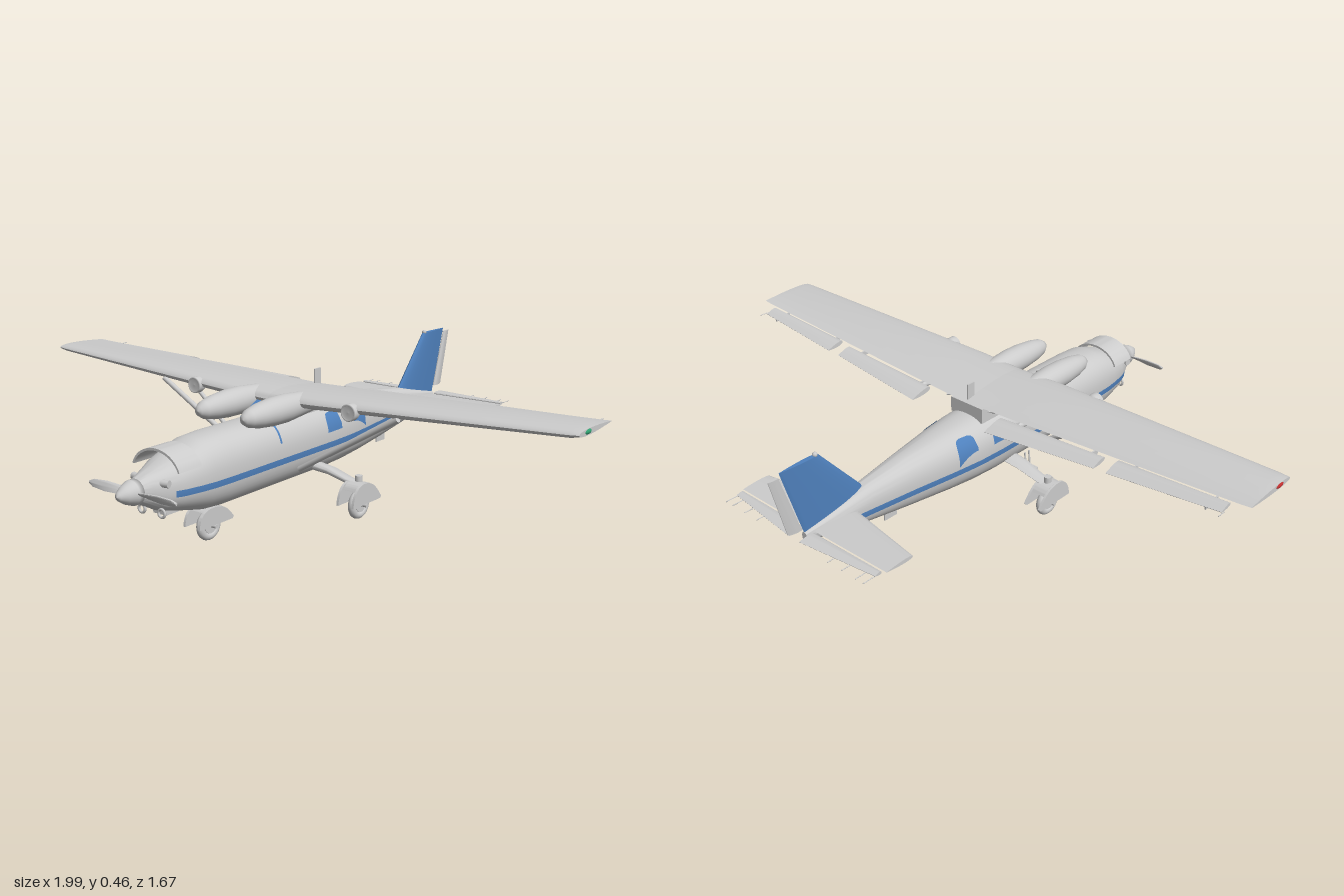
import * as THREE from 'three';
import { toCreasedNormals } from 'three/addons/utils/BufferGeometryUtils.js';

const V = (x, y, z) => new THREE.Vector3(x, y, z);
const paint = (color) => new THREE.MeshStandardMaterial({ color, side: THREE.DoubleSide });
const grey = paint(0xcccccc), blue = paint(0x4f81bd), red = paint(0xc03030), green = paint(0x30a070);

// Skin a list of equal-length closed rings and cap both ends
function loft(rings, crease = 0.7) {
  const n = rings[0].length, pos = rings.flat().flatMap((p) => [p.x, p.y, p.z]), idx = [];
  for (let r = 0; r < rings.length - 1; r++)
    for (let i = 0; i < n; i++) {
      const a = r * n + i, b = r * n + (i + 1) % n;
      idx.push(a, b, a + n, b, b + n, a + n);
    }
  const last = (rings.length - 1) * n;
  for (let i = 1; i < n - 1; i++) idx.push(0, i + 1, i, last, last + i, last + i + 1);
  // Turn the faces outward when the enclosed volume comes out negative
  const P = rings.flat(), c = V(0, 0, 0);
  let volume = 0;
  for (let i = 0; i < idx.length; i += 3)
    volume += P[idx[i]].dot(c.crossVectors(P[idx[i + 1]], P[idx[i + 2]]));
  if (volume < 0) idx.reverse();
  const g = new THREE.BufferGeometry();
  g.setAttribute('position', new THREE.Float32BufferAttribute(pos, 3));
  g.setIndex(idx);
  return toCreasedNormals(g, crease);
}

// Aerofoil ring from leading to trailing edge, thickened along a direction
function foil(le, te, t, dir) {
  const ring = [], n = 12;
  for (let i = 0; i < 2 * n; i++) {
    const k = i <= n ? i / n : 2 - i / n, u = (1 - Math.cos(Math.PI * k)) / 2;
    const h = 5 * t * (0.2969 * Math.sqrt(u) - 0.126 * u - 0.3516 * u * u + 0.2843 * u ** 3 - 0.1036 * u ** 4);
    ring.push(le.clone().lerp(te, u).addScaledVector(dir, i <= n ? h + 0.0006 : -h - 0.0006));
  }
  return ring;
}
// Stations are [x, y, zLeading, zTrailing, thickness, trailingDrop]
const panel = (s, st) => loft(st.map(([x, y, l, t, h, d = 0]) => foil(V(s * x, y, l), V(s * x, y - d, t), h, V(0, 1, 0))));
// Stations are [y, zLeading, zTrailing, thickness]
const finPanel = (st) => loft(st.map(([y, l, t, h]) => foil(V(0, y, l), V(0, y, t), h, V(1, 0, 0))));

// Fuselage stations: z, half width, bottom, top
const HULL = [[0.775, 0.03, 0.19, 0.25], [0.74, 0.042, 0.172, 0.262], [0.70, 0.062, 0.15, 0.275], [0.66, 0.08, 0.14, 0.29],
  [0.60, 0.092, 0.126, 0.31], [0.55, 0.098, 0.115, 0.326], [0.48, 0.1, 0.11, 0.33], [0, 0.1, 0.11, 0.33], [-0.1, 0.096, 0.114, 0.325],
  [-0.2, 0.084, 0.121, 0.317], [-0.35, 0.062, 0.135, 0.301], [-0.5, 0.043, 0.154, 0.28], [-0.62, 0.028, 0.173, 0.252], [-0.73, 0.01, 0.195, 0.225]];
const POWER = 2.4;
function halfWidth(z, y) {
  let i = 0;
  while (i < HULL.length - 2 && z < HULL[i + 1][0]) i++;
  const k = (HULL[i][0] - z) / (HULL[i][0] - HULL[i + 1][0]);
  const [w, b, t] = [1, 2, 3].map((j) => THREE.MathUtils.lerp(HULL[i][j], HULL[i + 1][j], k));
  return w * Math.max(0, 1 - Math.abs((2 * y - b - t) / (t - b)) ** POWER) ** (1 / POWER);
}
const hullRing = ([z, w, b, t]) => Array.from({ length: 48 }, (_, i) => {
  const a = i / 48 * Math.PI * 2, c = Math.cos(a), s = Math.sin(a);
  const f = (v) => Math.sign(v) * Math.abs(v) ** (2 / POWER);
  return V(w * f(c), (b + t) / 2 + (t - b) / 2 * f(s), z);
});
// Thin skin lying on the fuselage side, bounded by z range and two height rules
function skin(s, z0, z1, low, high, nz = 16) {
  const g = new THREE.PlaneGeometry(1, 1, nz, 6), p = g.attributes.position;
  for (let i = 0; i < p.count; i++) {
    const u = p.getX(i) + 0.5, z = THREE.MathUtils.lerp(z0, z1, u);
    const y = THREE.MathUtils.lerp(low(u), high(u), p.getY(i) + 0.5);
    p.setXYZ(i, s * (halfWidth(z, y) + 0.0025), y, z);
  }
  g.computeVertexNormals();
  return g;
}

// Streamlined rod between two points
function rod(a, b, r, r2 = r) {
  const g = new THREE.CylinderGeometry(r2, r, a.distanceTo(b), 12);
  g.applyQuaternion(new THREE.Quaternion().setFromUnitVectors(V(0, 1, 0), b.clone().sub(a).normalize()));
  return g.translate(...a.clone().add(b).multiplyScalar(0.5).toArray());
}
const box = (w, h, d, x, y, z) => new THREE.BoxGeometry(w, h, d).translate(x, y, z);
// Lathe along z from [radius, z] points
const turned = (pts, x, y) => new THREE.LatheGeometry(pts.map(([r, z]) => new THREE.Vector2(r, z)), 28).rotateX(Math.PI / 2).translate(x, y, 0);
// Side outline in (z, y), extruded across x
function slab(shape, w, x) {
  const g = new THREE.ExtrudeGeometry(shape, { depth: w, bevelEnabled: false, curveSegments: 16 });
  return toCreasedNormals(g.rotateY(-Math.PI / 2).translate(x + w / 2, 0, 0), 0.6);
}

export function createModel() {
  const model = new THREE.Group();
  const add = (name, g, m = grey, parent = model) => {
    const mesh = new THREE.Mesh(g, m);
    mesh.name = name;
    parent.add(mesh);
    return mesh;
  };

  // Body, nose and propeller
  add('fuselage', loft(HULL.map(hullRing)));
  add('spinner', turned([[0, 0.765], [0.036, 0.768], [0.036, 0.785], [0.026, 0.81], [0.012, 0.832], [0, 0.838]], 0, 0.22));
  for (const s of [1, -1]) {
    add('propellerBlade', loft([[0.015, 0.008, 1.1], [0.05, 0.014, 0.8], [0.1, 0.015, 0.5], [0.15, 0.011, 0.35], [0.165, 0.004, 0.3]].map(([x, c, a]) => {
      const d = V(0, Math.cos(a), s * Math.sin(a)), n = V(0, -d.z, d.y), o = V(s * x, 0.22, 0.782);
      return foil(o.clone().addScaledVector(d, c), o.clone().addScaledVector(d, -c), 0.006, n);
    })));
    add('exhaustPipe', rod(V(s * 0.035, 0.238, 0.715), V(s * 0.068, 0.238, 0.708), 0.011));
    add('noseIntake', new THREE.TorusGeometry(0.012, 0.004, 8, 20).translate(s * 0.038, 0.15, 0.71));
  }
  const hood = new THREE.Shape();
  hood.absellipse(0, 0.245, 0.094, 0.078, 0.3, Math.PI - 0.3, false);
  hood.absellipse(0, 0.245, 0.088, 0.071, Math.PI - 0.3, 0.3, true);
  add('cowlHood', toCreasedNormals(new THREE.ExtrudeGeometry(hood, { depth: 0.09, bevelEnabled: false, curveSegments: 12 }).translate(0, 0, 0.6), 0.6));
  add('chinScoop', box(0.05, 0.015, 0.05, 0, 0.14, 0.655));

  // Roof fairing and windscreen
  add('wingFairing', box(0.13, 0.05, 0.26, 0, 0.338, 0.07));
  add('windscreen', slab(new THREE.Shape([[0.285, 0.325], [0.2, 0.365], [0.2, 0.32]].map((p) => new THREE.Vector2(...p))), 0.09, 0), blue);
  add('roofAntenna', box(0.005, 0.06, 0.03, 0, 0.395, -0.04));
  add('roofProbe', rod(V(0, 0.33, 0.29), V(0, 0.345, 0.29), 0.007));
  add('bellyAntenna', box(0.004, 0.025, 0.05, 0, 0.122, -0.4));

  for (const s of [1, -1]) {
    // Blue side stripe and windows
    add('sideStripe', skin(s, 0.685, -0.61, () => 0.195, () => 0.214, 80), blue);
    const arch = (base, top) => (u) => base + (top - base) * Math.max(0, 1 - Math.abs(2 * u - 1) ** 5) ** 0.4;
    add('cabinWindow', skin(s, 0.035, -0.04, () => 0.245, arch(0.265, 0.303)), blue);
    add('rearWindow', skin(s, -0.108, -0.185, (u) => 0.252 - 0.03 * u * u, arch(0.262, 0.303)), blue);
    add('doorWindow', skin(s, 0.268, 0.26, () => 0.26, () => 0.315, 2), blue);

    // Wing with flap and aileron
    add('wing', panel(s, [[0, 0.37, 0.21, -0.068, 0.048], [0.16, 0.375, 0.21, -0.064, 0.047], [0.96, 0.405, 0.163, -0.042, 0.027], [0.99, 0.407, 0.16, -0.04, 0.017]]));
    add('flap', panel(s, [[0.15, 0.366, -0.066, -0.146, 0.016, 0.012], [0.53, 0.38, -0.058, -0.112, 0.013, 0.01]]));
    add('aileron', panel(s, [[0.575, 0.384, -0.05, -0.115, 0.014, 0.01], [0.93, 0.397, -0.044, -0.086, 0.01, 0.008]]));
    for (const x of [0.2, 0.48, 0.62, 0.88])
      add('flapHinge', box(0.005, 0.014, 0.06, s * x, 0.352 + 0.035 * x, -0.055));
    add('wingTipLight', new THREE.SphereGeometry(0.012, 14, 10).scale(0.8, 0.7, 1.8).translate(s * 0.985, 0.408, 0.105), s > 0 ? green : red);
    add('landingLight', turned([[0, 0.17], [0.02, 0.175], [0.026, 0.19], [0.026, 0.21], [0.021, 0.213], [0.02, 0.208], [0, 0.21]], s * 0.3, 0.373));
    add('underwingFairing', turned([[0, -0.1], [0.009, -0.05], [0.015, 0.03], [0.013, 0.09], [0, 0.12]], s * 0.2, 0.352));

    // Streamlined pod over the wing root
    add('wingPod', turned([[0, -0.06], [0.014, -0.03], [0.025, 0.02], [0.031, 0.1], [0.037, 0.17], [0.043, 0.24], [0.042, 0.3],
      [0.036, 0.36], [0.027, 0.4], [0.015, 0.42], [0, 0.425]], s * 0.087, 0.361));

    // Wing struts
    const foot = V(s * 0.095, 0.16, 0.175);
    add('frontStrut', rod(foot, V(s * 0.455, 0.372, 0.185), 0.0085));
    add('rearStrut', rod(foot, V(s * 0.43, 0.372, 0.105), 0.007));

    // Tailplane, elevator and static wicks
    add('tailplane', panel(s, [[0, 0.222, -0.55, -0.705, 0.016], [0.04, 0.222, -0.558, -0.705, 0.016], [0.303, 0.224, -0.605, -0.705, 0.011]]));
    add('elevator', panel(s, [[0.022, 0.222, -0.712, -0.768, 0.011], [0.292, 0.224, -0.712, -0.737, 0.008]]));
    for (const x of [0.15, 0.205, 0.26, 0.29])
      add('staticWick', rod(V(s * x, 0.222, -0.735), V(s * x, 0.222, -0.778), 0.0014));
    add('aileronWick', rod(V(s * 0.935, 0.391, -0.08), V(s * 0.935, 0.391, -0.11), 0.0014));
  }

  // Fin and rudder
  add('fin', finPanel([[0.225, -0.49, -0.73, 0.022], [0.28, -0.51, -0.747, 0.022], [0.45, -0.66, -0.797, 0.014]]), blue);
  add('rudder', finPanel([[0.245, -0.74, -0.788, 0.012], [0.438, -0.801, -0.836, 0.008]]));
  add('finBeacon', new THREE.SphereGeometry(0.008, 12, 8).translate(0, 0.452, -0.67));

  // Wheel with open-fronted spat: two cheeks joined by a crown
  function wheelUnit(name, x, z, h) {
    const g = new THREE.Group();
    g.name = name;
    g.position.set(x, 0, z);
    add('tyre', new THREE.TorusGeometry(0.034, 0.013, 12, 32).rotateY(Math.PI / 2).translate(0, 0.047, 0), grey, g);
    add('wheelHub', new THREE.CylinderGeometry(0.025, 0.025, 0.02, 20).rotateZ(Math.PI / 2).translate(0, 0.047, 0), grey, g);
    add('axle', rod(V(-0.032, 0.047, 0), V(0.032, 0.047, 0), 0.006), grey, g);
    const side = new THREE.Shape();
    side.moveTo(0.072, 0.054);
    side.bezierCurveTo(0.068, 0.09, 0.05, h, 0.015, h);
    side.bezierCurveTo(-0.03, h, -0.05, 0.095, -0.076, 0.06);
    side.lineTo(-0.07, 0.054);
    side.closePath();
    for (const s of [1, -1]) add('spatCheek', slab(side, 0.008, s * 0.028), grey, g);
    const crown = new THREE.Shape();
    crown.moveTo(0.045, 0.098);
    crown.quadraticCurveTo(0.035, h, 0.012, h);
    crown.quadraticCurveTo(-0.03, h, -0.045, 0.092);
    add('spatCrown', slab(crown, 0.05, 0), grey, g);
    model.add(g);
  }
  wheelUnit('noseWheel', 0, 0.483, 0.108);
  add('noseLeg', rod(V(0, 0.09, 0.483), V(0, 0.14, 0.483), 0.012));
  for (const s of [1, -1]) {
    wheelUnit('mainWheel', s * 0.235, 0.06, 0.12);
    add('mainLeg', loft([[0.06, 0.145, 0.03, 0.026], [0.13, 0.137, 0.026, 0.022], [0.2, 0.118, 0.022, 0.018], [0.245, 0.11, 0.018, 0.016]]
      .map(([x, y, c, t]) => foil(V(s * x, y, 0.06 + c), V(s * x, y, 0.06 - c), t, V(0, 1, 0)))));
    add('legCap', rod(V(s * 0.235, 0.1, 0.06), V(s * 0.235, 0.138, 0.06), 0.012));
  }

  // Boarding step hanging on the right side
  add('stepPlate', box(0.035, 0.005, 0.03, -0.09, 0.066, 0.155));
  for (const z of [0.145, 0.165]) add('stepBar', rod(V(-0.076, 0.066, z), V(-0.07, 0.12, z), 0.003));
  return model;
}
